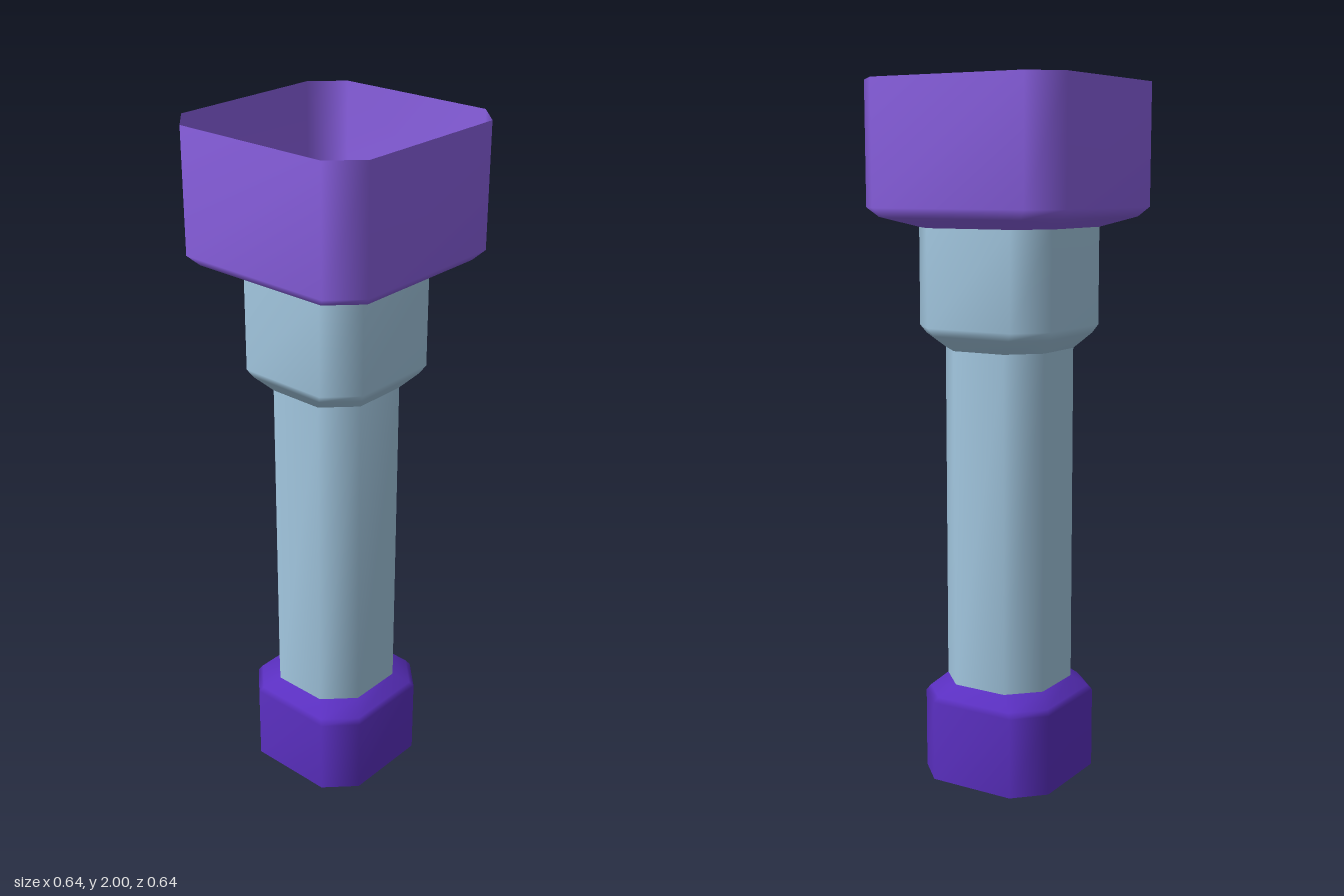
import * as THREE from 'three';

const paint = (name, color) => {
  const m = new THREE.MeshStandardMaterial({ color, side: THREE.DoubleSide });
  m.name = name;
  return m;
};

// Corners of a square ring with cut corners, as [x, z]
function ring(half, cut) {
  const s = half - cut;
  return [
    [half, -s], [half, s], [s, half], [-s, half],
    [-half, s], [-half, -s], [-s, -half], [s, -half],
  ];
}

// Open shell lofted through [halfWidth, height] sections, bottom to top
function shell(name, material, sections, cut = 0.081) {
  const positions = [], index = [];
  sections.forEach(([half, y], j) => {
    for (const [x, z] of ring(half, cut)) positions.push(x, y, z);
    if (j === 0) return;
    for (let i = 0; i < 8; i++) {
      const n = (i + 1) % 8, lo = (j - 1) * 8, hi = j * 8;
      index.push(lo + i, hi + i, lo + n, lo + n, hi + i, hi + n);
    }
  });
  const geometry = new THREE.BufferGeometry();
  geometry.setAttribute('position', new THREE.Float32BufferAttribute(positions, 3));
  geometry.setIndex(index);
  geometry.computeVertexNormals();
  const mesh = new THREE.Mesh(geometry, material);
  mesh.name = name;
  return mesh;
}

export function createModel() {
  const violet = paint('violet', 0x8a60e2);
  const paleBlue = paint('pale blue', 0xa3c8e1);
  const indigo = paint('indigo', 0x5a2fc0);

  const model = new THREE.Group();
  model.name = 'hollowColumn';
  model.add(
    // Foot, open underneath
    shell('foot', indigo, [[0.21, 0], [0.21, 0.235], [0.2, 0.25], [0.163, 0.285]]),
    // Long hollow shaft
    shell('shaft', paleBlue, [[0.163, 0.285], [0.163, 1.26]]),
    // Wider collar with a bevelled underside
    shell('collar', paleBlue, [[0.163, 1.26], [0.202, 1.302], [0.215, 1.325], [0.215, 1.6]]),
    // Open cup on top
    shell('cup', violet, [[0.215, 1.6], [0.295, 1.628], [0.32, 1.655], [0.32, 2]]),
  );
  return model;
}
